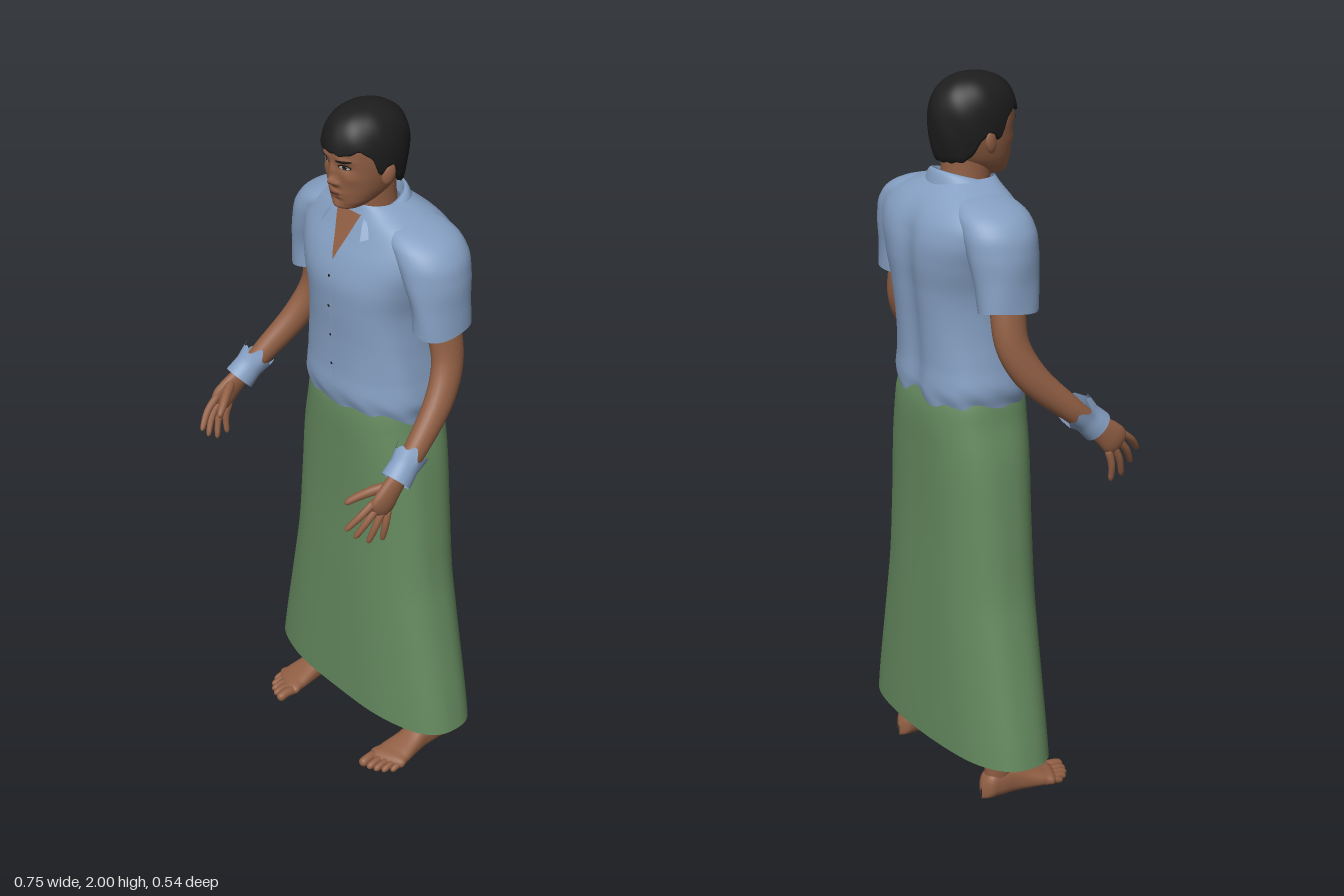
import * as THREE from 'three';

const { sin, cos, abs, sign, pow, sqrt, exp, min, max, PI } = Math;
const V = (x, y, z) => new THREE.Vector3(x, y, z);
const mat = (name, color, side = THREE.FrontSide) => {
  const m = new THREE.MeshStandardMaterial({ color, side });
  m.name = name;
  return m;
};

// Grid surface from fn(u, v); outward is du x dv. With wrap the u seam is shared.
function surface(fn, nu, nv, wrap = true) {
  const cols = wrap ? nu : nu + 1, pos = [], idx = [];
  for (let j = 0; j <= nv; j++)
    for (let i = 0; i < cols; i++) pos.push(...fn(i / nu, j / nv).toArray());
  for (let j = 0; j < nv; j++)
    for (let i = 0; i < nu; i++) {
      const a = j * cols + i, b = j * cols + (i + 1) % cols;
      idx.push(a, b, a + cols, b, b + cols, a + cols);
    }
  const g = new THREE.BufferGeometry();
  g.setAttribute('position', new THREE.Float32BufferAttribute(pos, 3));
  g.setIndex(idx);
  g.computeVertexNormals();
  return g;
}

// Smooth lookup of table rows [key, ...values]
function keyed(rows) {
  const size = rows[0].length - 1;
  const it = new THREE.CubicInterpolant(rows.map(r => r[0]), rows.flatMap(r => r.slice(1)), size, new Float32Array(size));
  return t => Array.from(it.evaluate(t));
}
const sup = (t, n) => sign(t) * pow(abs(t), 2 / n);

// Tube along points [x, y, z, radiusX, radiusAcross], with round or open ends
function limb(pts, { nu = 16, nv = 20, round = 0.12, jag = 0 } = {}) {
  const curve = new THREE.CatmullRomCurve3(pts.map(p => V(p[0], p[1], p[2])));
  return surface((u, w) => {
    const v = 0.5 - 0.5 * cos(PI * w), f = v * (pts.length - 1), k = min(pts.length - 2, f | 0);
    const r = i => pts[k][i] + (pts[k + 1][i] - pts[k][i]) * (f - k);
    const T = curve.getTangent(v), A = V(1, 0, 0).addScaledVector(T, -T.x).normalize(), B = T.clone().cross(A);
    const e = round ? min(1, v / round, (1 - v) / round) : 1, q = sqrt(max(0, 1 - (1 - e) ** 2)), a = u * 2 * PI;
    return curve.getPoint(v).addScaledVector(A, cos(a) * r(3) * q).addScaledVector(B, sin(a) * r(4) * q)
      .addScaledVector(T, jag * (1 - v) ** 3 * (sin(a * 7) + sin(a * 4 + 1)));
  }, nu, nv);
}

// Shirt body: y, half width, front z, back z
const torso = keyed([[1.10, .19, .035, -.235], [1.14, .196, .046, -.241], [1.18, .205, .056, -.248], [1.25, .197, .055, -.245],
  [1.35, .188, .058, -.25], [1.45, .19, .064, -.262], [1.53, .212, .064, -.272], [1.6, .235, .045, -.268], [1.65, .232, .022, -.25],
  [1.69, .19, .005, -.22], [1.715, .13, -.005, -.19], [1.735, .085, -.01, -.165]]);
// Head: y, half width, front z, back z
const skull = keyed([[1.722, .004, .01, -.012], [1.728, .028, .03, -.04], [1.745, .05, .04, -.075], [1.77, .066, .045, -.12], [1.8, .077, .048, -.145],
  [1.84, .085, .051, -.16], [1.88, .088, .055, -.165], [1.92, .086, .055, -.165], [1.96, .068, .03, -.135], [1.985, .02, -.03, -.08]]);
const frontZ = (table, n) => (x, y) => {
  const [rx, zf, zb] = table(y);
  return (zf + zb) / 2 + (zf - zb) / 2 * pow(max(0, 1 - pow(min(1, abs(x / rx)), n)), 1 / n);
};
const shirtZ = frontZ(torso, 2.4), skullZ = frontZ(skull, 2.3);

// Face relief: x, y, spread x, spread y, height (mirrored through |x|)
const relief = [[0, 1.813, .011, .013, .021], [0, 1.84, .009, .02, .012], [.014, 1.807, .007, .007, .007], [.036, 1.856, .017, .011, -.007],
  [.034, 1.878, .022, .007, .004], [0, 1.78, .021, .006, .007], [0, 1.768, .019, .005, .006], [0, 1.757, .02, .006, -.003],
  [0, 1.738, .02, .01, .006], [.052, 1.825, .018, .016, .004]];
const bumps = (x, y) => relief.reduce((s, [cx, cy, sx, sy, h]) => s + h * exp(-(((abs(x) - cx) / sx) ** 2) - ((y - cy) / sy) ** 2), 0);
const faceZ = (x, y) => skullZ(x, y) + bumps(x, y);

// Thin oval plate that follows a front surface
function plate(zAt, cx, cy, rx, ry, off, tilt = 0) {
  const g = new THREE.RingGeometry(0.01, 1, 20, 4), p = g.attributes.position;
  for (let i = 0; i < p.count; i++) {
    const x = cx + p.getX(i) * rx, y = cy + p.getY(i) * ry + tilt * (x - cx);
    p.setXYZ(i, x, y, zAt(x, y) + off);
  }
  g.computeVertexNormals();
  return g;
}

function mirrored(geo) {
  const g = geo.clone().scale(-1, 1, 1), a = g.index.array;
  for (let i = 0; i < a.length; i += 3) [a[i], a[i + 1]] = [a[i + 1], a[i]];
  g.computeVertexNormals();
  return g;
}

export function createModel() {
  const model = new THREE.Group();
  const skin = mat('skin', 0x915f44), hair = mat('black hair', 0x1d1d1d), lip = mat('lips', 0x774535), white = mat('eye white', 0xb9b2aa);
  const shirt = mat('blue shirt', 0x86a0c3, THREE.DoubleSide), cloth = mat('green cloth', 0x658a5f, THREE.DoubleSide);
  const add = (name, geo, m) => {
    const mesh = new THREE.Mesh(geo, m);
    mesh.name = name;
    model.add(mesh);
  };
  const pair = (name, geo, m) => { add('left' + name, geo, m); add('right' + name, mirrored(geo), m); };

  // Long wrapped skirt, open at the hem
  const skirt = keyed([[.14, .36, .04, -.24], [.2, .35, .04, -.24], [.4, .31, .04, -.238], [.5, .29, .04, -.237], [.6, .271, .04, -.236],
    [.8, .25, .04, -.236], [1, .225, .046, -.242], [1.1, .202, .049, -.245], [1.14, .196, .047, -.242], [1.175, .186, .04, -.232]]);
  add('skirt', surface((u, v) => {
    const y = .14 + 1.035 * v, [rx, zf, zb] = skirt(y), a = u * 2 * PI, n = 2.6;
    const fold = 1 + .006 * sin(a * 9 + y * 3) * (1 - v);
    return V(rx * sup(cos(a), n), y, (zf + zb) / 2 - (zf - zb) / 2 * sup(sin(a), n) * fold);
  }, 80, 48), cloth);

  // Shirt body with soft wrinkles, a spine furrow and an uneven hem
  add('shirtBody', surface((u, v) => {
    const y = 1.1 + .635 * v, [rx, zf, zb] = torso(y), a = u * 2 * PI, n = 2.4;
    const calm = min(1, max(0, (1.6 - y) / .15)), hem = min(1, max(0, (1.2 - y) / .05));
    const w = 1 + calm * .01 * sin(a * 5 + y * 14 + 2 * sin(a * 2)) + hem * .018 * (sin(a * 3 + 2.4) + .7 * sin(a * 11 + y * 60));
    const x = rx * sup(cos(a), n) * w, s = sup(sin(a), n);
    const spine = .014 * exp(-((x / .04) ** 2)) * max(0, s) * min(1, max(0, (1.7 - y) / .1));
    return V(x, y, (zf + zb) / 2 - (zf - zb) / 2 * s * w + spine);
  }, 112, 72), shirt);

  // Short sleeves: y, centre x, half width, half depth
  const sleeve = keyed([[1.43, .25, .06, .086], [1.5, .243, .063, .09], [1.58, .224, .078, .1], [1.64, .198, .086, .102],
    [1.68, .158, .083, .09], [1.705, .12, .05, .055], [1.715, .11, .002, .002]]);
  pair('Sleeve', surface((u, v) => {
    const y = 1.43 + .285 * v, [cx, rx, rz] = sleeve(y), a = u * 2 * PI, w = 1 + .02 * sin(a * 4 + y * 25) * (1 - v);
    return V(cx + rx * cos(a) * w, y + .006 * sin(a * 2) * (1 - v), -.108 - rz * sin(a) * w);
  }, 40, 28), shirt);

  // Folded collar and the open neckline below it
  add('collar', surface((u, v) => {
    const phi = PI * (.2 + 1.6 * u), k = (1 + cos(phi)) / 2;
    const inner = [.068, .076, 1.715 - .055 * k], top = [.075, .082, 1.757 - .05 * k], outer = [.1 + .032 * k, .1 + .042 * k, 1.715 - .072 * k * k];
    const t = min(1, v * 2), s = max(0, v * 2 - 1);
    const [rx, rz, y] = top.map((c, i) => v < .5 ? inner[i] + (c - inner[i]) * t : c + (outer[i] - c) * s);
    return V(rx * sin(phi), y + .012 * sin(PI * s), -.085 + rz * cos(phi));
  }, 48, 12, false), shirt);
  add('openNeckline', surface((u, v) => {
    const y = 1.582 + .13 * v, x = (u - .5) * .092 * v;
    return V(x, y, shirtZ(x, y) + .004);
  }, 10, 12, false), skin);
  add('placket', surface((u, v) => {
    const y = 1.2 + .385 * v, x = .012 * (u - .5) + .006;
    return V(x, y, shirtZ(x, y) + .003);
  }, 2, 30, false), shirt);
  for (const y of [1.27, 1.36, 1.45, 1.54]) add('button', plate(shirtZ, 0, y, .004, .004, .005), hair);

  // Neck, head and ears
  add('neck', limb([[0, 1.58, -.1, .07, .07], [0, 1.66, -.088, .064, .068], [0, 1.74, -.078, .06, .068], [0, 1.82, -.075, .06, .07]], { nu: 32 }), skin);
  add('head', surface((u, v) => {
    const y = 1.722 + .263 * v, [rx, zf, zb] = skull(y), a = u * 2 * PI, n = 2.3, s = -sup(sin(a), n), x = rx * sup(cos(a), n);
    return V(x, y, (zf + zb) / 2 + (zf - zb) / 2 * s + (s > 0 ? bumps(x, y) * min(1, s * 2) : 0));
  }, 112, 90), skin);
  const ear = new THREE.SphereGeometry(1, 16, 12).scale(.011, .031, .019).rotateX(-.2).rotateY(-.3).translate(.09, 1.83, -.057);
  pair('Ear', ear, skin);

  // Eyes, brows and mouth
  for (const [side, s] of [['left', 1], ['right', -1]]) {
    add(side + 'EyeLine', plate(faceZ, s * .036, 1.858, .018, .0075, .002), hair);
    add(side + 'Eye', plate(faceZ, s * .036, 1.857, .0145, .005, .003), white);
    add(side + 'Iris', plate(faceZ, s * .036, 1.857, .006, .005, .004), hair);
    add(side + 'Brow', plate(faceZ, s * .037, 1.876, .022, .004, .003, s * .1), hair);
  }
  add('upperLip', plate(faceZ, 0, 1.78, .022, .0045, .002), lip);
  add('lowerLip', plate(faceZ, 0, 1.769, .019, .005, .002), lip);
  add('mouthLine', plate(faceZ, 0, 1.775, .022, .0012, .003), hair);

  // Short hair: lower edge by angle from the front, 0 to pi
  const edge = keyed([[0, 1.895], [.5, 1.893], [.85, 1.905], [1.15, 1.88], [1.35, 1.835], [1.55, 1.85], [1.8, 1.835], [2.1, 1.79], [2.6, 1.777], [3.2, 1.775]]);
  add('hair', surface((u, v) => {
    const a = u * 2 * PI, phi = abs(((a + PI / 2 + PI) % (2 * PI)) - PI), e = edge(phi)[0];
    const t = max(0, (v - .08) / .92), y = e + (2 - e) * sin(t * PI / 2) - .002 * sin(a * 19) * (1 - t);
    const h = (y - 1.885) / .115;
    let r = h > 0 ? pow(max(0, 1 - pow(min(1, h), 2.3)), 1 / 2.3) : 1 - .16 * h * h;
    if (t >= 1) r = 0;
    r *= (v < .08 ? .86 + 1.4 * v : 1) * (1 + .008 * sin(a * 8 + y * 40));
    return V(.099 * r * cos(a), y, -.056 - .124 * r * sin(a));
  }, 96, 40), hair);

  // Arms, hands and torn wrist wraps
  pair('Arm', limb([[.2, 1.6, -.11, .045, .05], [.245, 1.46, -.11, .042, .05], [.272, 1.34, -.11, .038, .047], [.295, 1.25, -.065, .036, .044],
    [.322, 1.15, .04, .03, .034], [.334, 1.09, .11, .021, .028]], { nu: 24, nv: 40, round: .04 }), skin);
  pair('Palm', limb([[.331, 1.11, .09, .021, .027], [.338, 1.075, .135, .019, .036], [.342, 1.045, .168, .017, .042], [.338, 1.02, .195, .013, .036]], { round: .2 }), skin);
  const fingers = [[.338, 1.06, .19, .31, .985, .272], [.34, 1.045, .178, .317, .953, .246], [.341, 1.03, .165, .327, .926, .208], [.341, 1.02, .15, .336, .922, .166]];
  for (const [x, y, z, tx, ty, tz] of fingers)
    pair('Finger', limb([[x, y, z, .011, .011], [(x + tx) / 2 + .006, (y + ty) / 2 + .004, (z + tz) / 2 + .004, .01, .01], [tx, ty, tz, .0075, .0075]], { nu: 10, nv: 12 }), skin);
  pair('Thumb', limb([[.335, 1.085, .145, .014, .015], [.308, 1.07, .185, .013, .014], [.285, 1.052, .217, .011, .011], [.271, 1.036, .24, .008, .009]], { nu: 12, nv: 14 }), skin);
  pair('WristWrap', limb([[.326, 1.146, .058, .044, .05], [.33, 1.118, .088, .038, .042], [.334, 1.088, .12, .041, .045]], { nu: 40, nv: 10, round: 0, jag: .009 }), shirt);

  // Legs and bare feet
  pair('Leg', limb([[.223, .035, -.122, .03, .038], [.225, .14, -.12, .034, .045], [.212, .35, -.13, .05, .056], [.19, .55, -.11, .052, .058], [.13, .95, -.1, .075, .08]],
    { nu: 24, nv: 24, round: .04 }), skin);
  const foot = keyed([[-.176, .003, .035], [-.168, .022, .06], [-.13, .033, .085], [-.08, .035, .084], [-.03, .041, .062], [.03, .049, .042], [.07, .045, .028], [.082, .008, .012]]);
  pair('Foot', surface((u, v) => {
    const z = -.176 + .258 * v, [w, h] = foot(z), a = u * 2 * PI, x = w * sup(cos(a), 2.3);
    return V(.223 + .006 * v + x, .006 + h * (.5 + .5 * sup(sin(a), 2.6)), z - .4 * v * v * max(0, x + .03));
  }, 32, 36), skin);
  [[.192, .116, .0145], [.217, .11, .011], [.237, .101, .0105], [.255, .087, .01], [.27, .066, .0095]].forEach(([x, z, r]) =>
    pair('Toe', limb([[x - .002, .021, z - .062, r, r], [x, .022, z - .03, r * .9, r], [x, .014, z, r, r]], { nu: 12, nv: 12, round: .2 }), skin));

  return model;
}
